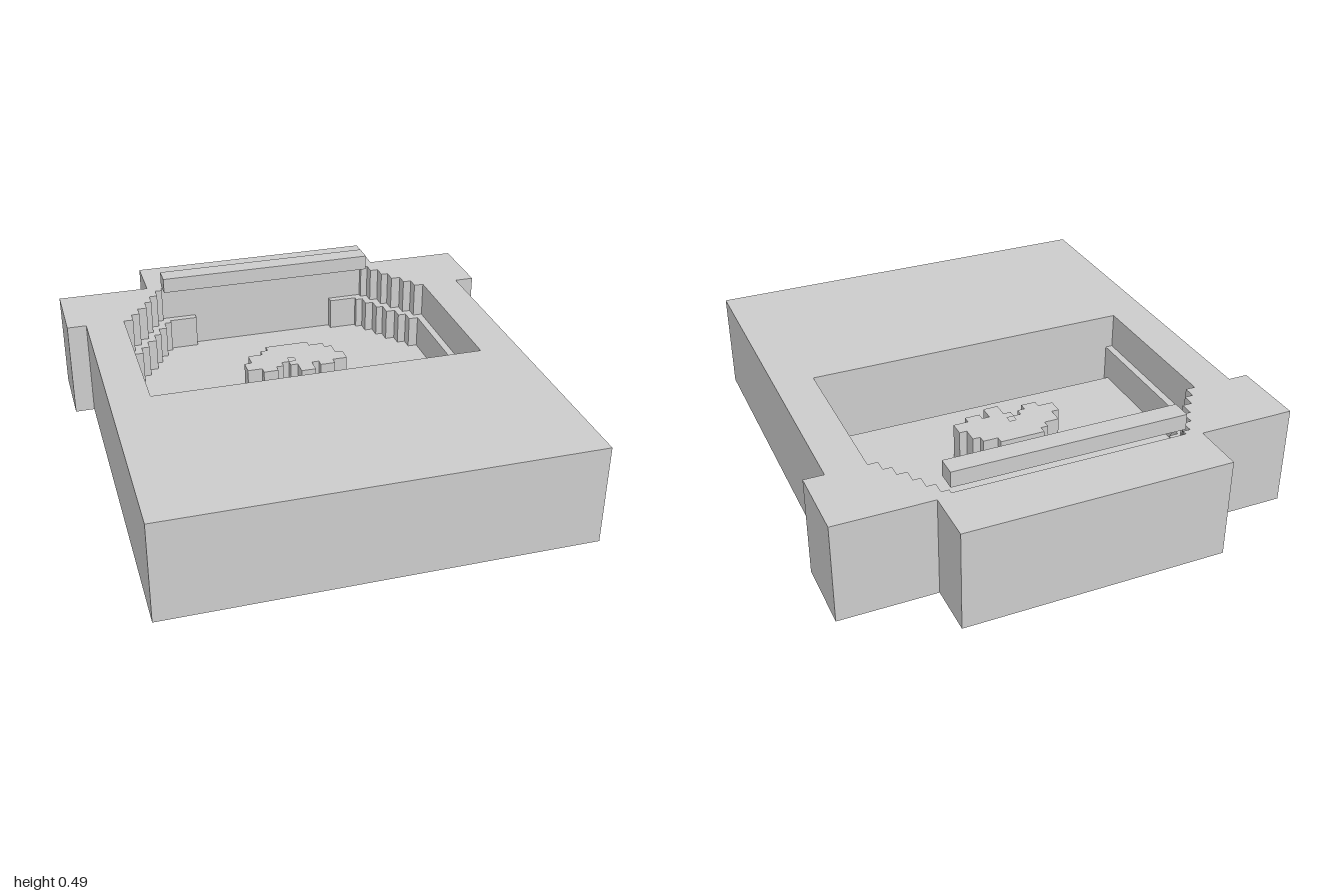
import * as THREE from 'three';

const grey = new THREE.MeshStandardMaterial({ color: 0xcccccc, flatShading: true });

// Outline given as [x, z] points
const toPoints = (pts) => pts.map(([x, z]) => new THREE.Vector2(x, -z));

// Full outline from the points of its +x half
const mirrored = (half) => [...half, ...half.map(([x, z]) => [-x, z]).reverse()];

// Upright slab of a plan outline between two heights
function slab(name, outline, y0, y1, holes = []) {
  const shape = new THREE.Shape(toPoints(outline));
  for (const hole of holes) shape.holes.push(new THREE.Path(toPoints(hole)));
  const geometry = new THREE.ExtrudeGeometry(shape, { depth: y1 - y0, bevelEnabled: false });
  geometry.rotateX(-Math.PI / 2);
  geometry.translate(0, y0, 0);
  const mesh = new THREE.Mesh(geometry, grey);
  mesh.name = name;
  return mesh;
}

export function createModel() {
  const model = new THREE.Group();
  model.name = 'frameBlock';

  // Stepped rear corner shared by the window, floor and lining
  const steps = [
    [0.64, -0.49], [0.64, -0.54], [0.605, -0.54], [0.605, -0.59], [0.565, -0.59], [0.565, -0.645],
    [0.535, -0.645], [0.535, -0.7], [0.5, -0.7], [0.5, -0.75], [0.47, -0.75], [0.47, -0.77],
  ];

  // Main block with the window through it
  const body = mirrored([[0.84, 1], [0.84, -0.49], [0.92, -0.49], [0.92, -0.79], [0.53, -0.79], [0.53, -1]]);
  const windowHole = mirrored([[0.68, 0.18], [0.68, -0.49], ...steps]);
  model.add(slab('body', body, 0, 0.41, [windowHole]));

  // Thin floor, leaving a slot along the front of the window
  model.add(slab('floorPlate', mirrored([[0.65, 0.15], [0.65, -0.49], ...steps]), 0.1, 0.12));

  // Lining along each side wall and round the stepped corners
  const inner = steps.map(([x, z]) => [x - 0.03, z + 0.03]).reverse();
  const lining = [
    [0.68, 0.18], [0.68, -0.49], ...steps, [0.32, -0.77], [0.32, -0.74],
    ...inner, [0.65, -0.46], [0.65, 0.18],
  ];
  model.add(slab('leftLining', lining, 0.1, 0.26));
  model.add(slab('rightLining', lining.map(([x, z]) => [-x, z]), 0.1, 0.26));

  // Stepped pillar standing through the floor, laid out on a small grid
  const grid = ([c, r]) => [-0.217 + c * 0.031, -0.35 + r * 0.031];
  const pillar = [
    [0, 4], [1, 4], [1, 2], [3, 2], [3, 1], [4, 1], [4, 0], [10, 0], [10, 1], [12, 1], [12, 2],
    [13, 2], [13, 4], [14, 4], [14, 6], [12, 6], [12, 7], [10, 7], [10, 6], [9, 6], [9, 8],
    [7, 8], [7, 6], [6, 6], [6, 5], [5, 5], [5, 6], [4, 6], [4, 7], [2, 7], [2, 6], [0, 6],
  ].map(grid);
  const notch = [[6.1, 4], [7, 4], [7, 4.9], [6.1, 4.9]].map(grid);
  model.add(slab('pillar', pillar, 0, 0.27, [notch]));

  // Bar hovering just above the rear edge
  const bar = new THREE.Mesh(new THREE.BoxGeometry(0.94, 0.065, 0.08), grey);
  bar.name = 'rearBar';
  bar.position.set(0, 0.46, -0.725);
  model.add(bar);

  return model;
}
